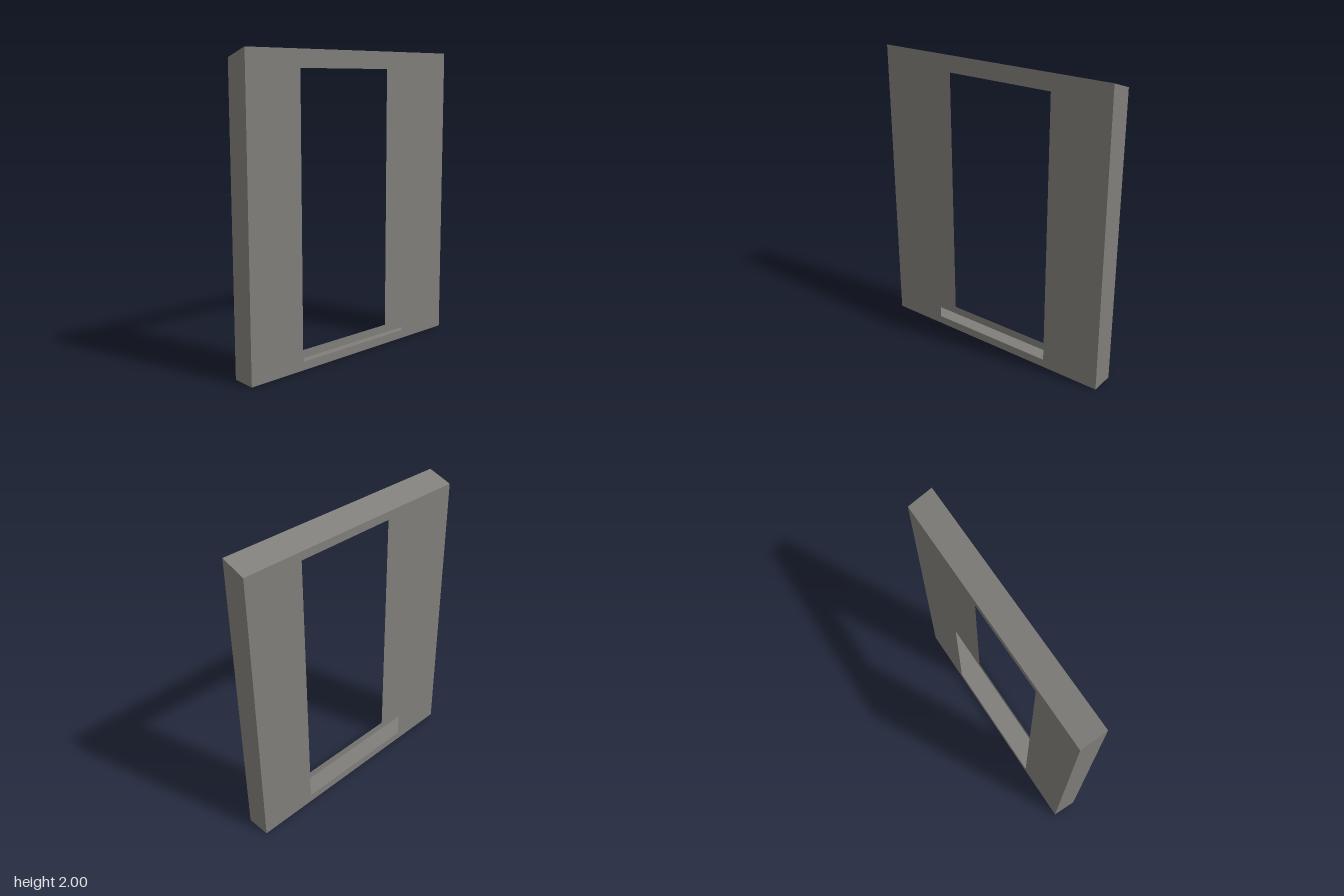
import * as THREE from 'three';

const X = 0.083, Z = 0.858;              // half thickness, half length
const HIGH = 2, LOW = 1.945;             // top edge on the +x and -x sides
const HOLE = { back: -0.45, front: 0.458, bottom: 0.057, top: 1.89 };

const polygon = (Type, points) => new Type(points.map(([a, b]) => new THREE.Vector2(a, b)));

export function createModel() {
  const group = new THREE.Group();
  group.name = 'doorFrame';
  const grey = new THREE.MeshStandardMaterial({ color: 0x807e7a, side: THREE.DoubleSide });
  grey.name = 'warmGrey';

  const add = (name, geometry) => {
    const mesh = new THREE.Mesh(geometry, grey);
    mesh.name = name;
    group.add(mesh);
    return mesh;
  };

  for (const s of [1, -1]) {
    // Thin wall with a rectangular opening; the frame is hollow between the two walls
    const height = s > 0 ? HIGH : LOW;
    const wall = polygon(THREE.Shape, [[-Z, 0], [Z, 0], [Z, height], [-Z, height]]);
    const u0 = -s * HOLE.back, u1 = -s * HOLE.front;
    wall.holes.push(polygon(THREE.Path, [
      [u0, HOLE.bottom], [u0, HOLE.top], [u1, HOLE.top], [u1, HOLE.bottom],
    ]));
    const wallGeometry = new THREE.ShapeGeometry(wall).rotateY(s * Math.PI / 2).translate(s * X, 0, 0);
    add(s > 0 ? 'leftWall' : 'rightWall', wallGeometry);

    // End cap with the slanted top edge
    const cap = polygon(THREE.Shape, [[-X, 0], [X, 0], [X, s > 0 ? HIGH : LOW], [-X, s > 0 ? LOW : HIGH]]);
    const capGeometry = new THREE.ShapeGeometry(cap);
    if (s < 0) capGeometry.rotateY(Math.PI);
    add(s > 0 ? 'frontEnd' : 'backEnd', capGeometry.translate(0, 0, s * Z));
  }

  // Sloping top and flat base
  const rise = HIGH - LOW;
  add('slopedTop', new THREE.PlaneGeometry(Math.hypot(2 * X, rise), 2 * Z)
    .rotateX(-Math.PI / 2)
    .rotateZ(Math.atan2(rise, 2 * X))
    .translate(0, (HIGH + LOW) / 2, 0));
  add('base', new THREE.PlaneGeometry(2 * X, 2 * Z).rotateX(Math.PI / 2));

  return group;
}
